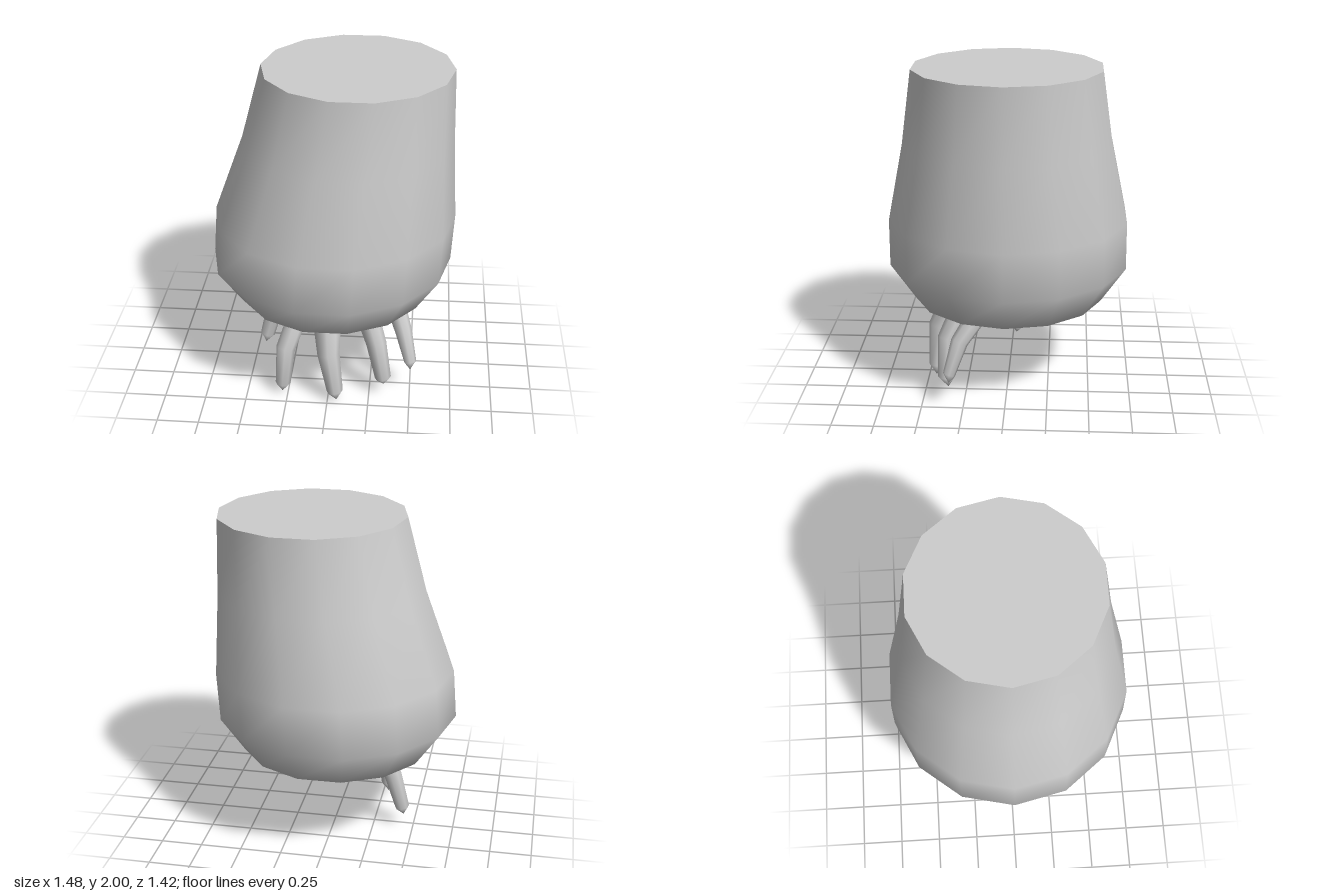
import * as THREE from 'three';

// Smooth skin over equal rings of points, closed at the end by one apex point
function loft(rings, apex) {
  const n = rings[0].length;
  const pos = [...rings.flat(), apex].flatMap((p) => [p.x, p.y, p.z]);
  const tip = rings.length * n;
  const index = [];
  rings.forEach((_, i) => {
    for (let j = 0; j < n; j++) {
      const a = i * n + j, b = i * n + (j + 1) % n;
      if (i === rings.length - 1) index.push(a, b, tip);
      else index.push(a, b, b + n, a, b + n, a + n);
    }
  });
  const geo = new THREE.BufferGeometry();
  geo.setAttribute('position', new THREE.Float32BufferAttribute(pos, 3));
  geo.setIndex(index);
  geo.computeVertexNormals();
  return geo;
}

// Ring of n points around centre c, square to direction t
function ring(c, t, r, n) {
  const v = new THREE.Vector3().crossVectors(t, new THREE.Vector3(1, 0, 0)).normalize();
  const u = new THREE.Vector3().crossVectors(v, t).normalize();
  return Array.from({ length: n }, (_, j) => {
    const a = (j / n) * Math.PI * 2;
    return c.clone().addScaledVector(u, r * Math.cos(a)).addScaledVector(v, r * Math.sin(a));
  });
}

export function createModel() {
  const grey = new THREE.MeshStandardMaterial({ color: 0xcccccc });
  grey.name = 'grey';
  const group = new THREE.Group();
  const add = (name, geo, parent = group) => {
    const mesh = new THREE.Mesh(geo, grey);
    mesh.name = name;
    parent.add(mesh);
    return mesh;
  };

  // Bulky forearm, leaning towards +x at the top: [y, centre x, radius]
  const down = new THREE.Vector3(0, -1, 0);
  const profile = [
    [2, 0.14, 0.56], [1.55, 0.085, 0.626], [1.07, 0.01, 0.727],
    [0.775, -0.01, 0.73], [0.555, -0.005, 0.58],
  ];
  const arm = profile.map(([y, x, r]) => ring(new THREE.Vector3(x, y, 0), down, r, 14));
  add('forearm', loft(arm, new THREE.Vector3(0, 0.425, 0)));

  // Flat cut at the top
  const cap = add('topCap', new THREE.CircleGeometry(0.56, 14));
  cap.rotation.x = -Math.PI / 2;
  cap.position.set(0.14, 2, 0);

  // Fingers: root, knuckle, end and tip, with radii of the first three
  const fingers = {
    thumb: [[[-0.30, 0.5, -0.04], [-0.37, 0.37, -0.058], [-0.43, 0.14, -0.037], [-0.44, 0.08, -0.03]], [0.062, 0.056, 0.045]],
    indexFinger: [[[-0.185, 0.51, 0.27], [-0.26, 0.32, 0.39], [-0.28, 0.07, 0.4], [-0.285, 0.005, 0.395]], [0.062, 0.058, 0.046]],
    middleFinger: [[[-0.012, 0.495, 0.34], [0.005, 0.32, 0.435], [0.045, 0.065, 0.453], [0.055, 0, 0.455]], [0.085, 0.068, 0.05]],
    ringFinger: [[[0.23, 0.51, 0.28], [0.29, 0.36, 0.355], [0.335, 0.12, 0.365], [0.34, 0.06, 0.352]], [0.07, 0.062, 0.05]],
    littleFinger: [[[0.4, 0.525, 0.19], [0.45, 0.41, 0.27], [0.5, 0.22, 0.33], [0.5, 0.165, 0.335]], [0.06, 0.052, 0.037]],
  };
  for (const [name, [points, radii]] of Object.entries(fingers)) {
    const p = points.map((q) => new THREE.Vector3(...q));
    const rings = radii.map((r, i) => {
      const dir = p[Math.min(i + 1, 2)].clone().sub(p[Math.max(i - 1, 0)]).normalize();
      return ring(p[i], dir, r, 8);
    });
    const finger = new THREE.Group();
    finger.name = name;
    add('fingerSkin', loft(rings, p[3]), finger);
    // Flat end closing the root
    add('fingerRoot', loft([rings[0].slice().reverse()], p[0]), finger);
    group.add(finger);
  }
  return group;
}
